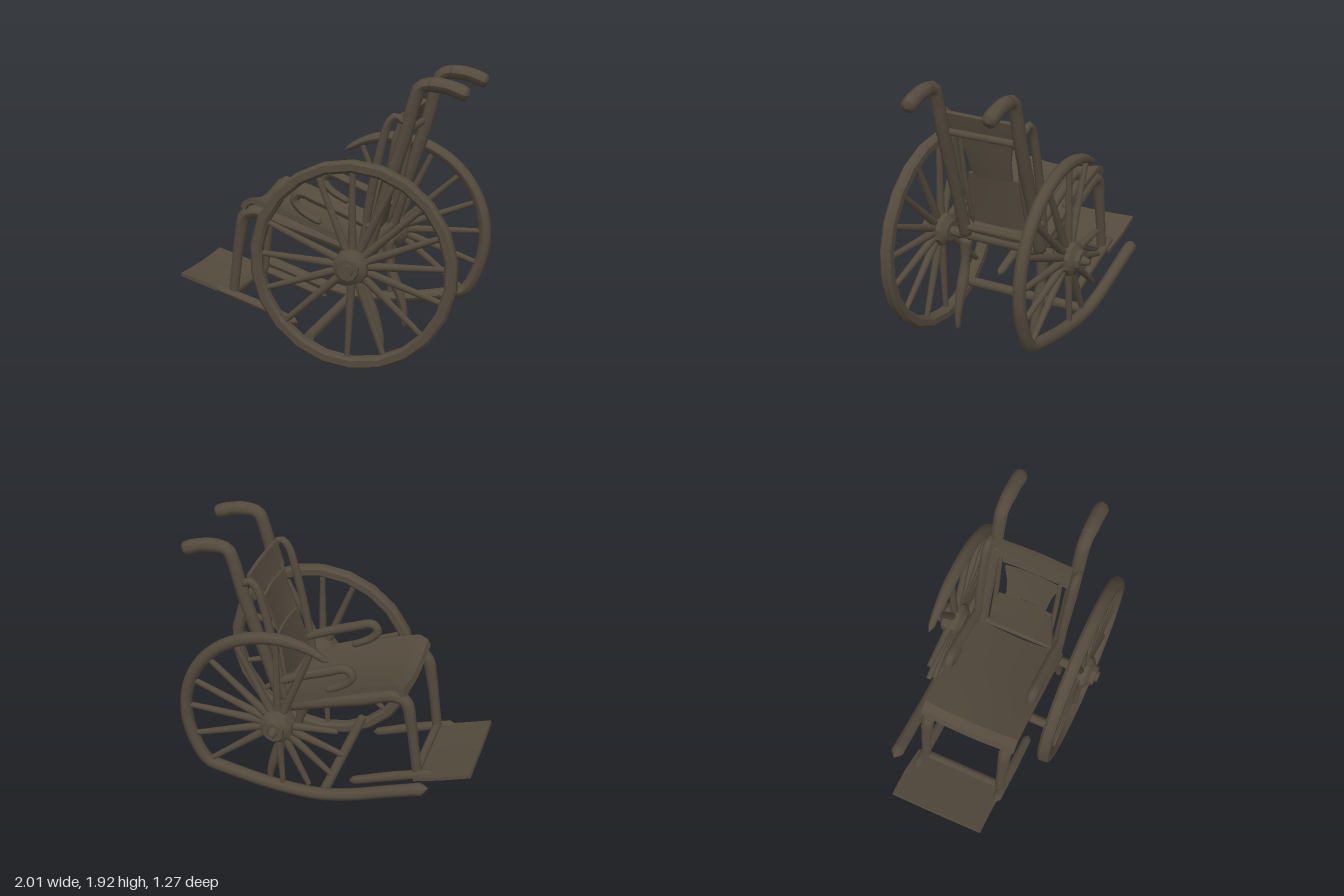
import * as THREE from 'three';
import { toCreasedNormals } from 'three/addons/utils/BufferGeometryUtils.js';

const V = (x, y, z) => new THREE.Vector3(x, y, z);

export function createModel() {
  const group = new THREE.Group();
  group.name = 'brokenWheelchair';
  const iron = new THREE.MeshStandardMaterial({ color: 0x544a3d, side: THREE.DoubleSide });
  iron.name = 'weathered brown';

  const add = (name, geo, parent = group) => {
    const m = new THREE.Mesh(geo, iron);
    m.name = name;
    parent.add(m);
    return m;
  };

  // Swept tube whose radius follows a list of values; both ends are closed
  const tube = (name, pts, radii, parent = group, n = pts.length * 6, sides = 8) => {
    const curve = new THREE.CatmullRomCurve3(pts, false, 'centripetal');
    const geo = new THREE.TubeGeometry(curve, n, 1, sides, false);
    const p = geo.attributes.position;
    const v = V(0, 0, 0);
    for (let i = 0; i <= n; i++) {
      const t = (i / n) * (radii.length - 1);
      const k = Math.min(Math.floor(t), radii.length - 2);
      const r = i === 0 || i === n ? 0.0005 : THREE.MathUtils.lerp(radii[k], radii[k + 1], t - k);
      const c = curve.getPointAt(i / n);
      for (let j = 0; j <= sides; j++) {
        const id = i * (sides + 1) + j;
        v.fromBufferAttribute(p, id).sub(c).multiplyScalar(r).add(c);
        p.setXYZ(id, v.x, v.y, v.z);
      }
    }
    geo.computeVertexNormals();
    return add(name, geo, parent);
  };

  // Straight round bar between two points
  const bar = (name, a, b, r0, r1 = r0, parent = group) => {
    const dir = b.clone().sub(a);
    const m = add(name, new THREE.CylinderGeometry(r1, r0, dir.length(), 8), parent);
    m.position.copy(a).add(b).multiplyScalar(0.5);
    m.quaternion.setFromUnitVectors(V(0, 1, 0), dir.normalize());
    return m;
  };

  // Curved plate: side profile [x, y] swept across z, middle displaced by sag [x, y]
  const plate = (name, profile, widths, sag, thick) => {
    const pos = [], idx = [], cols = 8, h = cols + 1, row = h * 2;
    profile.forEach(([x, y], i) => {
      const [z0, z1] = widths[Math.min(i, widths.length - 1)];
      const a = profile[Math.max(i - 1, 0)], b = profile[Math.min(i + 1, profile.length - 1)];
      const len = Math.hypot(b[0] - a[0], b[1] - a[1]);
      const nx = -(b[1] - a[1]) / len, ny = (b[0] - a[0]) / len;
      for (let s = 0; s < 2; s++) for (let j = 0; j <= cols; j++) {
        const t = j / cols, k = Math.sin(Math.PI * t), d = -s * thick;
        pos.push(x + nx * d + sag[0] * k, y + ny * d + sag[1] * k, z0 + (z1 - z0) * t);
      }
    });
    const quad = (a, b, c, d) => idx.push(a, b, c, a, c, d);
    for (let i = 0; i < profile.length - 1; i++) {
      const o = i * row, q = o + row;
      for (let j = 0; j < cols; j++) {
        quad(o + j, o + j + 1, q + j + 1, q + j);
        quad(o + h + j, q + h + j, q + h + j + 1, o + h + j + 1);
      }
      quad(o, q, q + h, o + h);
      quad(o + cols, o + h + cols, q + h + cols, q + cols);
    }
    for (const [o, flip] of [[0, 0], [(profile.length - 1) * row, 1]]) for (let j = 0; j < cols; j++) {
      const a = o + j, b = a + 1, c = b + h, d = a + h;
      flip ? quad(a, b, c, d) : quad(a, d, c, b);
    }
    const geo = new THREE.BufferGeometry();
    geo.setAttribute('position', new THREE.Float32BufferAttribute(pos, 3));
    geo.setIndex(idx);
    return add(name, toCreasedNormals(geo, 0.6));
  };

  // Wheels: hub and spokes shared, rims differ because one is broken open
  const HX = 0.295, HY = 0.69, R = 0.66;
  const lathe = (pts, sides) => toCreasedNormals(
    new THREE.LatheGeometry(pts.map(([r, y]) => new THREE.Vector2(r, y)), sides), 0.5);
  const hubProfile = [[0, -0.09], [0.07, -0.09], [0.115, -0.055], [0.125, 0.0], [0.115, 0.055], [0.075, 0.08],
    [0.07, 0.11], [0.04, 0.11], [0.035, 0.1], [0, 0.1]];
  const wheel = (name, z, side, spokes) => {
    const w = new THREE.Group();
    w.name = name;
    w.position.set(HX, HY, z);
    group.add(w);
    add('hub', lathe(hubProfile, 10), w).rotation.x = side * Math.PI / 2;
    for (const [deg, len] of spokes) {
      const a = THREE.MathUtils.degToRad(deg), c = Math.cos(a), s = Math.sin(a);
      bar('spoke', V(c * 0.08, s * 0.08, 0), V(c * len, s * len, 0), 0.03, 0.019, w);
    }
    return w;
  };
  const near = wheel('wholeWheel', 0.5, 1,
    [3, 22, 42, 64, 90, 112, 157, 177, 199, 222, 267, 290, 318, 342].map(d => [d, R]));
  const rimProfile = [[-0.04, -0.022], [-0.022, -0.041], [0.022, -0.041], [0.04, -0.022],
    [0.04, 0.022], [0.022, 0.041], [-0.022, 0.041], [-0.04, 0.022], [-0.04, -0.022]];
  add('rim', lathe(rimProfile.map(([r, y]) => [R + r, y]), 22), near).rotation.x = Math.PI / 2;
  bar('hubNut', V(0, 0, 0.08), V(0, 0, 0.13), 0.045, 0.04, near);

  const far = wheel('brokenWheel', -0.48, -1, [[3, R], [22, R], [42, R], [64, R], [90, R], [112, R], [322, R],
    [342, R], [267, 0.48], [245, 0.5], [222, 0.5], [199, 0.48], [177, 0.42]]);
  bar('axleTip', V(0, 0, -0.09), V(0, 0, -0.16), 0.04, 0.02, far);
  const arc = [];
  for (let d = 124; d >= -38; d -= 18) {
    const a = THREE.MathUtils.degToRad(d);
    arc.push(V(R * Math.cos(a), R * Math.sin(a), 0));
  }
  for (const [x, y] of [[0.7, 0.25], [0.35, 0.185], [0.02, 0.17], [-0.2, 0.21], [-0.48, 0.3], [-0.75, 0.385]])
    arc.push(V(x - HX, y - HY, 0));
  tube('brokenRim', arc, [0.02, 0.042, 0.044, 0.044, 0.044, 0.044, 0.044, 0.044, 0.044, 0.044, 0.044, 0.046], far, 70);

  // Cross members
  bar('axle', V(HX, HY, -0.58), V(HX, HY, 0.58), 0.036);
  bar('lowerCrossbar', V(-0.01, 0.165, -0.49), V(-0.01, 0.165, 0.48), 0.036);
  bar('seatCrossbar', V(0.34, 0.77, -0.29), V(0.34, 0.77, 0.29), 0.025);
  bar('footCrossbar', V(-0.62, 0.36, -0.3), V(-0.62, 0.36, 0.28), 0.03);

  // Side frames, mirrored front to back
  for (const s of [1, -1]) {
    const z = s * 0.285;
    const path = (name, pts, radii, dz = 0) =>
      tube(name, pts.map(([x, y]) => V(x, y, z + s * dz)), radii);
    path('pushPost', [[0.31, 0.68], [0.45, 1.12], [0.58, 1.53], [0.64, 1.76], [0.675, 1.84], [0.75, 1.86], [0.82, 1.85]],
      [0.045, 0.04, 0.045, 0.045, 0.045]);
    path('grip', [[0.72, 1.862], [0.85, 1.85], [0.99, 1.8]], [0.045, 0.05, 0.048, 0.052, 0.045]);
    path('backPost', [[0.3, 0.76], [0.36, 1.12], [0.43, 1.45], [0.48, 1.61], [0.53, 1.65], [0.58, 1.6]],
      [0.025, 0.03, 0.03, 0.025], 0.025);
    path('backBrace', [[0.33, 0.8], [0.42, 1.1], [0.5, 1.55]], [0.015, 0.018, 0.015], -0.07);
    path('seatRailAndLeg', [[0.3, 0.72], [0, 0.81], [-0.25, 0.88], [-0.45, 0.94], [-0.53, 0.91], [-0.57, 0.75], [-0.63, 0.3]],
      [0.045, 0.05, 0.05, 0.045, 0.036, 0.036]);
    path('armrest', [[0.38, 0.9], [0.2, 0.98], [0, 1.055], [-0.13, 1.095], [-0.17, 1.05], [-0.12, 0.98], [0.02, 0.9]],
      [0.03, 0.035, 0.035, 0.03, 0.025], 0.02);
    path('footRail', [[-0.75, 0.385], [-0.5, 0.31], [-0.15, 0.19]], [0.03, 0.035, 0.03], 0.02);
    path('lowerPost', [[0.3, 0.68], [0.33, 0.45], [0.4, 0.25], [0.43, 0.13], [0.43, 0.02]],
      [0.05, 0.032, 0.042, 0.03, 0.016], 0.01);
  }

  // Seat, slightly hollow across its width
  plate('seat', [[-0.54, 0.98], [-0.52, 1.02], [-0.46, 1.05], [-0.28, 1.0], [0, 0.9], [0.32, 0.78]],
    [[-0.33, 0.345]], [0, -0.05], 0.04);

  // Backrest panels
  plate('lowerBackPanel', [[0.31, 0.83], [0.34, 1.0], [0.38, 1.2]], [[-0.22, 0.26], [-0.2, 0.24], [-0.18, 0.21]], [0.015, 0], 0.02);
  plate('middleBackPanel', [[0.4, 1.2], [0.44, 1.34], [0.47, 1.48]], [[-0.13, 0.16], [-0.14, 0.18], [-0.17, 0.22]], [0.015, 0], 0.02);
  plate('upperBackPanel', [[0.49, 1.49], [0.52, 1.58], [0.54, 1.66]], [[-0.25, 0.27]], [0.01, 0], 0.03);
  bar('backCrossbar', V(0.55, 1.52, -0.28), V(0.55, 1.52, 0.28), 0.025);

  // Footplate
  plate('footplate', [[-1, 0.465], [-0.8, 0.405], [-0.61, 0.345]], [[-0.36, 0.31], [-0.365, 0.31], [-0.35, 0.32]], [0, -0.01], 0.025);

  return group;
}
